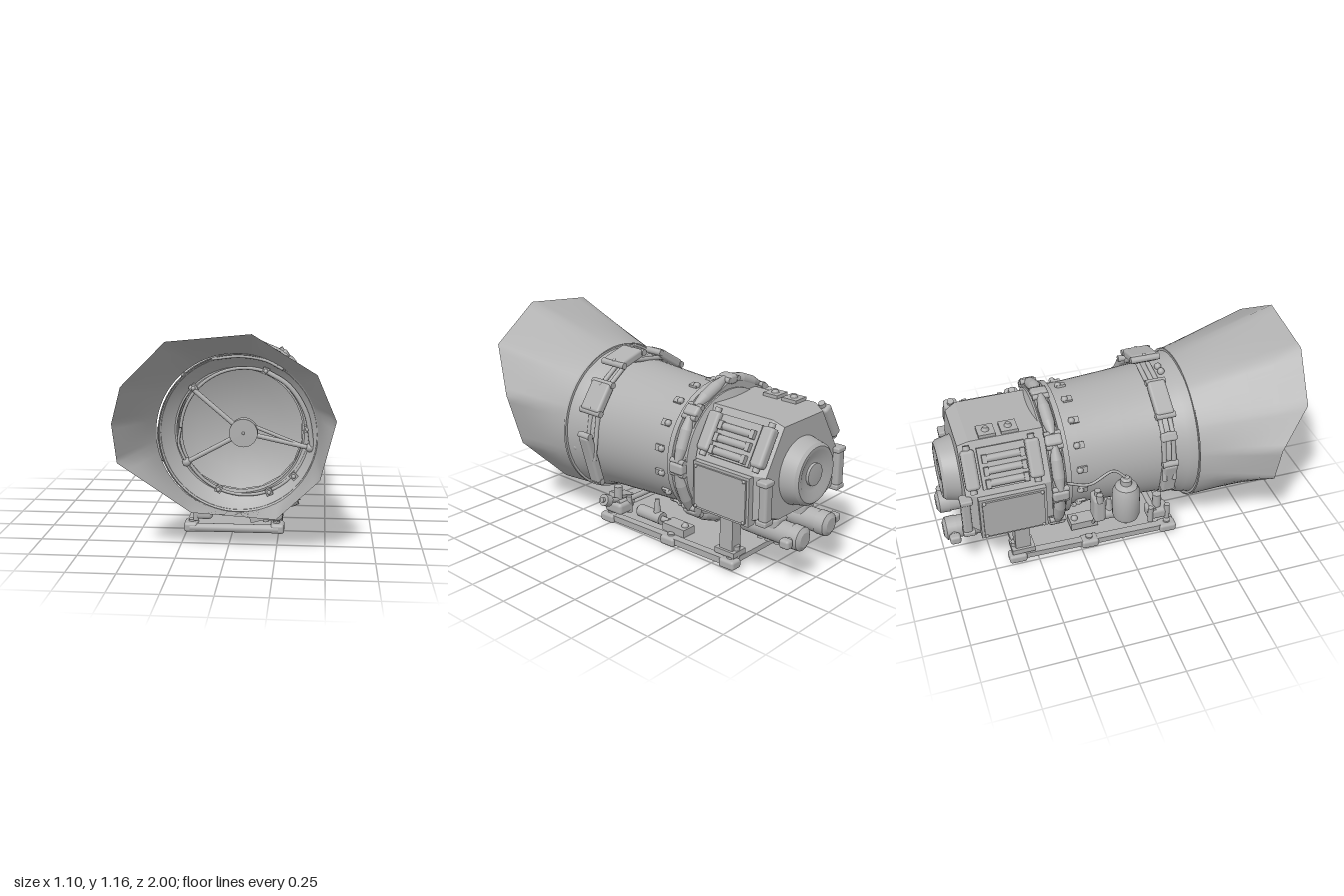
import * as THREE from 'three';
import { toCreasedNormals } from 'three/addons/utils/BufferGeometryUtils.js';
import { RoundedBoxGeometry } from 'three/addons/geometries/RoundedBoxGeometry.js';

const grey = new THREE.MeshStandardMaterial({ color: 0xb0b0b0, side: THREE.DoubleSide });
grey.name = 'grey metal';
const V = (x, y, z) => new THREE.Vector3(x, y, z);
const UP = V(0, 1, 0);
const CX = 0.04, CY = 0.565; // optical axis

export function createModel() {
  const root = new THREE.Group();
  root.name = 'searchlight';

  const add = (geo, name, p = [0, 0, 0], r = [0, 0, 0], parent = root) => {
    const m = new THREE.Mesh(geo, grey);
    m.name = name;
    m.position.set(...p);
    m.rotation.set(...r);
    parent.add(m);
    return m;
  };
  const box = (name, size, p, r, parent) => add(new THREE.BoxGeometry(...size), name, p, r, parent);
  const pad = (name, size, p, r, parent) =>
    add(new RoundedBoxGeometry(...size, 2, Math.min(...size) * 0.3), name, p, r, parent);
  const ball = (name, rad, p) => add(new THREE.SphereGeometry(rad, 14, 10), name, p);
  // cylinder between two points, optionally tapered
  const rod = (name, a, b, r0, r1 = r0, parent = root, sides = 14) => {
    const A = V(...a), B = V(...b), d = B.clone().sub(A);
    const m = add(new THREE.CylinderGeometry(r1, r0, d.length(), sides), name, A.clone().add(B).multiplyScalar(0.5).toArray(), undefined, parent);
    m.quaternion.setFromUnitVectors(UP, d.normalize());
    return m;
  };
  // thick-waisted link with tapered ends
  const link = (name, a, b, r) => {
    const A = V(...a), B = V(...b), at = t => A.clone().lerp(B, t).toArray();
    rod(name, at(0), at(0.3), r * 0.5, r);
    rod(name, at(0.3), at(0.7), r, r);
    rod(name, at(0.7), at(1), r, r * 0.5);
  };
  const hose = (name, pts, r) =>
    add(new THREE.TubeGeometry(new THREE.CatmullRomCurve3(pts.map(p => V(...p))), 32, r, 8), name);
  const lathe = (pts, sides) =>
    toCreasedNormals(new THREE.LatheGeometry(pts.map(p => new THREE.Vector2(...p)), sides), 0.5);
  // profile of [radius, z] spun around the optical axis
  const spin = (name, pts, x = CX, y = CY, sides = 64) => add(lathe(pts, sides), name, [x, y, 0], [Math.PI / 2, 0, 0]);
  // closed loops of points joined into a skin
  const loft = (name, rows, crease) => {
    const n = rows[0].length, idx = [], pos = rows.flat().flatMap(v => v.toArray());
    for (let j = 0; j < rows.length - 1; j++) for (let i = 0; i < n; i++) {
      const a = j * n + i, b = j * n + (i + 1) % n;
      idx.push(a, b, a + n, b, b + n, a + n);
    }
    const g = new THREE.BufferGeometry();
    g.setAttribute('position', new THREE.Float32BufferAttribute(pos, 3));
    g.setIndex(idx);
    return add(toCreasedNormals(g, crease), name);
  };
  const polar = (a, r, z, x = CX) => [x + r * Math.cos(a), CY + r * Math.sin(a), z];
  const rad = d => d * Math.PI / 180;

  // Faceted hood: round at the back, slanted ten-sided rim at the front
  const rim = [[0.545, 0.72, 0.79], [0.45, 0.97, 0.96], [0.15, 1.16, 1], [-0.25, 1.12, 0.99], [-0.47, 0.9, 0.95],
    [-0.55, 0.69, 0.79], [-0.53, 0.49, 0.77], [-0.18, 0.21, 0.65], [0.25, 0.18, 0.64], [0.47, 0.42, 0.76]].map(p => V(...p));
  const front = [], back = [];
  rim.forEach((p, i) => {
    const q = rim[(i + 1) % rim.length];
    const a = Math.atan2(p.y - CY, p.x - 0.03);
    let b = Math.atan2(q.y - CY, q.x - 0.03);
    if (b < a) b += 2 * Math.PI;
    for (let k = 0; k < 7; k++) {
      front.push(p.clone().lerp(q, k / 7));
      back.push(V(...polar(a + (b - a) * k / 7, 0.425, 0.385, 0.03)));
    }
  });
  loft('hood', [0, 0.25, 0.5, 0.75, 1].map(t => back.map((p, i) => p.clone().lerp(front[i], t))), 1);

  // Barrel shell, mouth and dished mirror
  spin('barrel', [[0.3, -0.46], [0.345, -0.44], [0.342, -0.25], [0.356, 0], [0.37, 0.2], [0.38, 0.28], [0.4, 0.33], [0.41, 0.385], [0.425, 0.385], [0.425, 0.4]]);
  spin('mouth', [[0.42, 0.395], [0.39, 0.36], [0.345, 0.32], [0.335, 0.32], [0.335, 0.25]]);
  spin('mirror', [[0.335, 0.25], [0.24, 0.21], [0.12, 0.185], [0.001, 0.175]], CX, CY, 18);
  add(new THREE.TorusGeometry(0.342, 0.009, 8, 64), 'mouthRing', [0.07, CY, 0.335]);

  // Spider holding the central hub
  const hub = [0.065, 0.57, 0.37];
  rod('hub', [0.065, 0.57, 0.34], [0.065, 0.57, 0.39], 0.075, 0.075, root, 32);
  ball('hubPin', 0.008, [0.065, 0.57, 0.39]);
  [[-0.21, 0.8, 0.016], [-0.24, 0.4, 0.024], [0.415, 0.49, 0.024]].forEach(([x, y, r]) => {
    rod('spiderArm', hub, [x, y, 0.35], 0.013);
    ball('spiderJoint', r, [x, y, 0.35]);
  });
  rod('spiderArm', [0.1, 0.61, 0.36], [0.4, 0.49, 0.35], 0.01);
  hose('mouthCable', [[0.17, 0.9, 0.35], [0.3, 0.82, 0.36], [0.39, 0.68, 0.36], [0.425, 0.5, 0.36]], 0.013);
  hose('mouthCable', [[-0.1, 0.96, 0.39], [0.05, 0.975, 0.39], [0.18, 0.955, 0.39], [0.27, 0.91, 0.39]], 0.008);
  hose('mouthCable', [[-0.27, 0.59, 0.36], [-0.28, 0.5, 0.36], [-0.24, 0.4, 0.36]], 0.008);
  [[-0.07, 0.255], [0.2, 0.245], [0.33, 0.335], [0.4, 0.59], [0.18, 0.895], [-0.2, 0.8]].forEach(([x, y]) => {
    box('mouthClip', [0.035, 0.035, 0.03], [x, y, 0.345], [0, 0, Math.atan2(y - CY, x - 0.07)]);
    ball('clipScrew', 0.011, [x, y, 0.362]);
  });

  // Front strap: boxes joined by twin rods over the top and sides of the barrel
  const straps = [[-16, 0.4, 0.3, 0.075], [35, 0.4, 0.17, 0.14], [74, 0.43, 0.16, 0.15], [122, 0.4, 0.2, 0.1], [190, 0.385, 0.2, 0.08]];
  straps.forEach(([deg, r, l, w]) => {
    const a = rad(deg), c = polar(a, r, 0.225);
    pad('strapBox', [0.05, l, w], c, [0, 0, a]);
    [-1, 1].forEach(s => {
      const e = [c[0] - Math.sin(a) * s * l / 2, c[1] + Math.cos(a) * s * l / 2];
      rod('strapPin', [...e, 0.225 - w * 0.55], [...e, 0.225 + w * 0.55], 0.018);
      ball('strapScrew', 0.012, polar(a + s * l, r + 0.022, 0.225));
    });
  });
  [-16, 35, 74, 122, 152, 190].forEach((d, i, all) => i && [0.195, 0.25].forEach(z =>
    rod('strapRod', polar(rad(all[i - 1]), 0.41, z), polar(rad(d), 0.41, z), 0.013)));
  pad('strapJoint', [0.04, 0.05, 0.09], polar(rad(152), 0.405, 0.225), [0, 0, rad(152)]);
  [0, 0.05].forEach(x => ball('topScrew', 0.02, [x, 0.955, 0.29]));

  // Bolt lugs around the rear of the barrel
  for (let i = 0; i < 16; i++) {
    const a = rad(i * 22.5 + 11);
    box('barrelLug', [0.02, 0.035, 0.05], polar(a, 0.345, -0.25), [0, 0, a]);
    ball('lugBolt', 0.018, polar(a, 0.35, -0.265));
  }

  // Octagonal flange: a link along each side and a clamp on each corner
  add(new THREE.CylinderGeometry(0.395, 0.395, 0.07, 8), 'flange', [0.01, CY, -0.395], [Math.PI / 2, 0, 0]);
  add(new THREE.CylinderGeometry(0.37, 0.37, 0.03, 48), 'flangeRing', [0.03, CY, -0.335], [Math.PI / 2, 0, 0]);
  for (let i = 0; i < 8; i++) {
    const a = rad(i * 45), at = (d, r, z = -0.395) => polar(a + rad(d), r, z, 0.01);
    pad('flangeClamp', [0.05, 0.06, 0.09], at(0, 0.39), [0, 0, a]);
    link('flangeLink', at(4, 0.395), at(41, 0.395), 0.033);
    [-5, 5].forEach(d => rod('flangePin', at(d, 0.39, -0.44), at(d, 0.39, -0.35), 0.015));
  }

  // Rear housing with a bevelled back
  const section = [[0.33, 0.38], [0.33, 0.62], [0.18, 0.87], [-0.18, 0.87], [-0.33, 0.62], [-0.33, 0.38], [-0.2, 0.33], [0.2, 0.33]];
  loft('rearHousing', [[-0.42, 1], [-0.82, 1], [-0.88, 0.9], [-0.88, 0.001]]
    .map(([z, s]) => section.map(([x, y]) => V(x * s, 0.58 + (y - 0.58) * s, z))), 0.2);
  spin('rearLamp', [[0.185, -0.87], [0.165, -0.96], [0.15, -0.975], [0.13, -0.975], [0.09, -0.955], [0.06, -0.955], [0.06, -0.97], [0.001, -0.975]], 0.01, 0.57, 40);
  [-0.72, -0.6].forEach(z => {
    box('topSocket', [0.09, 0.02, 0.09], [-0.13, 0.878, z]);
    rod('topKnob', [-0.13, 0.88, z], [-0.13, 0.905, z], 0.025, 0.012);
  });

  // Mirrored side equipment on the housing
  [-1, 1].forEach(s => {
    const X = (x, y, z) => [s * x, y, z], slope = [0, 0, s * 0.54];
    box('sidePanel', [0.05, 0.26, 0.36], X(0.335, 0.485, -0.645));
    box('sideCover', [0.02, 0.23, 0.33], X(0.36, 0.485, -0.645));
    [0.375, 0.595].forEach(y => [-0.49, -0.8].forEach(z => ball('panelScrew', 0.009, X(0.371, y, z))));
    [-0.5, -0.84].forEach(z => {
      pad('cornerLink', [0.06, 0.21, 0.075], X(0.27, 0.755, z), slope);
      rod('cornerLinkPin', X(0.335, 0.645, z), X(0.205, 0.865, z), 0.018);
    });
    box('slopeTray', [0.025, 0.22, 0.25], X(0.265, 0.745, -0.665), slope);
    [[0.32, 0.685], [0.285, 0.74], [0.25, 0.795]].forEach(([x, y]) => {
      rod('slopeCylinder', X(x, y, -0.57), X(x, y, -0.75), 0.02);
      [-0.56, -0.76].forEach(z => box('slopeBracket', [0.045, 0.045, 0.025], X(x, y, z), slope));
    });
    pad('rearLink', [0.06, 0.2, 0.05], X(0.31, 0.49, -0.89));
    [0.385, 0.595].forEach(y => pad('rearLinkEnd', [0.07, 0.03, 0.065], X(0.31, y, -0.885)));

    // Drive motors beneath the housing
    const mx = s * 0.115;
    rod('motor', [mx, 0.255, -0.63], [mx, 0.255, -0.93], 0.062, 0.062, root, 24);
    rod('motorCap', [mx, 0.255, -0.93], [mx, 0.255, -0.985], 0.066, 0.064, root, 24);
    rod('motorEnd', [mx, 0.255, -0.985], [mx, 0.255, -1], 0.064, 0.04, root, 24);
    pad('motorMount', [0.11, 0.1, 0.2], [mx, 0.3, -0.76]);
    [-0.72, -0.77, -0.83].forEach(z => rod('motorPlug', [mx, 0.18, z], [mx, 0.21, z], 0.02));
    rod('motorSideArm', [mx, 0.255, -0.95], X(0.2, 0.255, -0.95), 0.02);
    pad('motorSidePlug', [0.05, 0.05, 0.06], X(0.21, 0.255, -0.95));

    // Rear support column
    box('rearColumn', [0.07, 0.28, 0.085], X(0.2, 0.235, -0.585));
    box('columnFoot', [0.1, 0.03, 0.13], X(0.2, 0.09, -0.585));
    rod('columnBolt', X(0.2, 0.06, -0.63), X(0.2, 0.13, -0.63), 0.018);
  });
  box('columnCrossBeam', [0.46, 0.06, 0.09], [0, 0.32, -0.585]);

  // Base sledge, rising slightly to the rear
  const base = new THREE.Group();
  base.name = 'base';
  base.position.x = 0.008;
  base.rotation.x = 0.018;
  root.add(base);
  box('basePlate', [0.46, 0.03, 0.92], [0, 0.028, -0.17], undefined, base);
  [-1, 1].forEach(s => {
    box('baseRail', [0.045, 0.035, 0.92], [s * 0.235, 0.037, -0.17], undefined, base);
    [0.27, -0.2, -0.62].forEach(z => {
      pad('baseFoot', [0.075, 0.052, 0.1], [s * 0.235, 0.032, z], undefined, base);
      rod('footBolt', [s * 0.23, 0.05, z], [s * 0.23, 0.068, z], 0.02, 0.02, base);
    });
  });
  rod('baseFrontBar', [-0.24, 0.03, 0.3], [0.24, 0.03, 0.3], 0.023, 0.023, base);

  // Front mounts and tilt actuator
  [-0.16, 0.22].forEach(x => {
    pad('frontMount', [0.1, 0.07, 0.13], [x, 0.1, 0.23]);
    rod('mountPost', [x, 0.06, 0.23], [x, 0.22, 0.23], 0.025);
    [0.18, 0.28].forEach(z => rod('mountBolt', [x - 0.04, 0.06, z], [x - 0.04, 0.16, z], 0.016));
  });
  box('actuatorBox', [0.13, 0.07, 0.09], [0.155, 0.11, 0.27], [0, 0, 0.26]);
  rod('actuator', [0.2, 0.13, 0.22], [0.36, 0.183, 0.22], 0.014);
  rod('actuatorKnob', [0.305, 0.16, 0.22], [0.345, 0.178, 0.22], 0.034);
  rod('crossShaft', [-0.2, 0.13, 0.2], [0.25, 0.13, 0.2], 0.016);
  [0.18, -0.1].forEach(x => {
    rod('damper', [x, 0.1, 0.09], [x, 0.1, -0.08], 0.036);
    rod('damperRod', [x, 0.1, 0.11], [x, 0.1, -0.13], 0.016);
    rod('damperNeck', [x, 0.12, -0.04], [x, 0.21, -0.04], 0.022, 0.012);
    box('baseUnit', [0.09, 0.045, 0.16], [x, 0.085, -0.2]);
    ball('unitKnob', 0.02, [x, 0.11, -0.25]);
  });

  // Pressure bottle, valve box and hoses on the right flank
  add(lathe([[0.001, 0.31], [0.045, 0.312], [0.067, 0.325], [0.075, 0.35], [0.075, 0.5], [0.06, 0.535], [0.03, 0.55], [0.03, 0.58], [0.018, 0.595], [0.001, 0.6]], 24),
    'bottle', [-0.385, 0, -0.035]);
  rod('bottleOutlet', [-0.385, 0.28, -0.035], [-0.385, 0.32, -0.035], 0.022);
  box('bottleBracket', [0.1, 0.035, 0.05], [-0.31, 0.45, -0.035]);
  pad('valveBox', [0.1, 0.16, 0.065], [-0.37, 0.42, -0.19]);
  [-0.41, -0.37].forEach(x => rod('valve', [x, 0.48, -0.19], [x, 0.53, -0.19], 0.018));
  hose('bottleHose', [[-0.385, 0.29, -0.035], [-0.34, 0.25, -0.03], [-0.26, 0.21, -0.02], [-0.17, 0.19, 0]], 0.012);
  hose('valveHose', [[-0.36, 0.35, -0.19], [-0.31, 0.25, -0.2], [-0.21, 0.18, -0.15], [-0.12, 0.11, -0.1]], 0.009);
  hose('upperHose', [[-0.385, 0.59, -0.035], [-0.37, 0.64, -0.1], [-0.39, 0.6, -0.24], [-0.38, 0.63, -0.36]], 0.008);
  return root;
}
